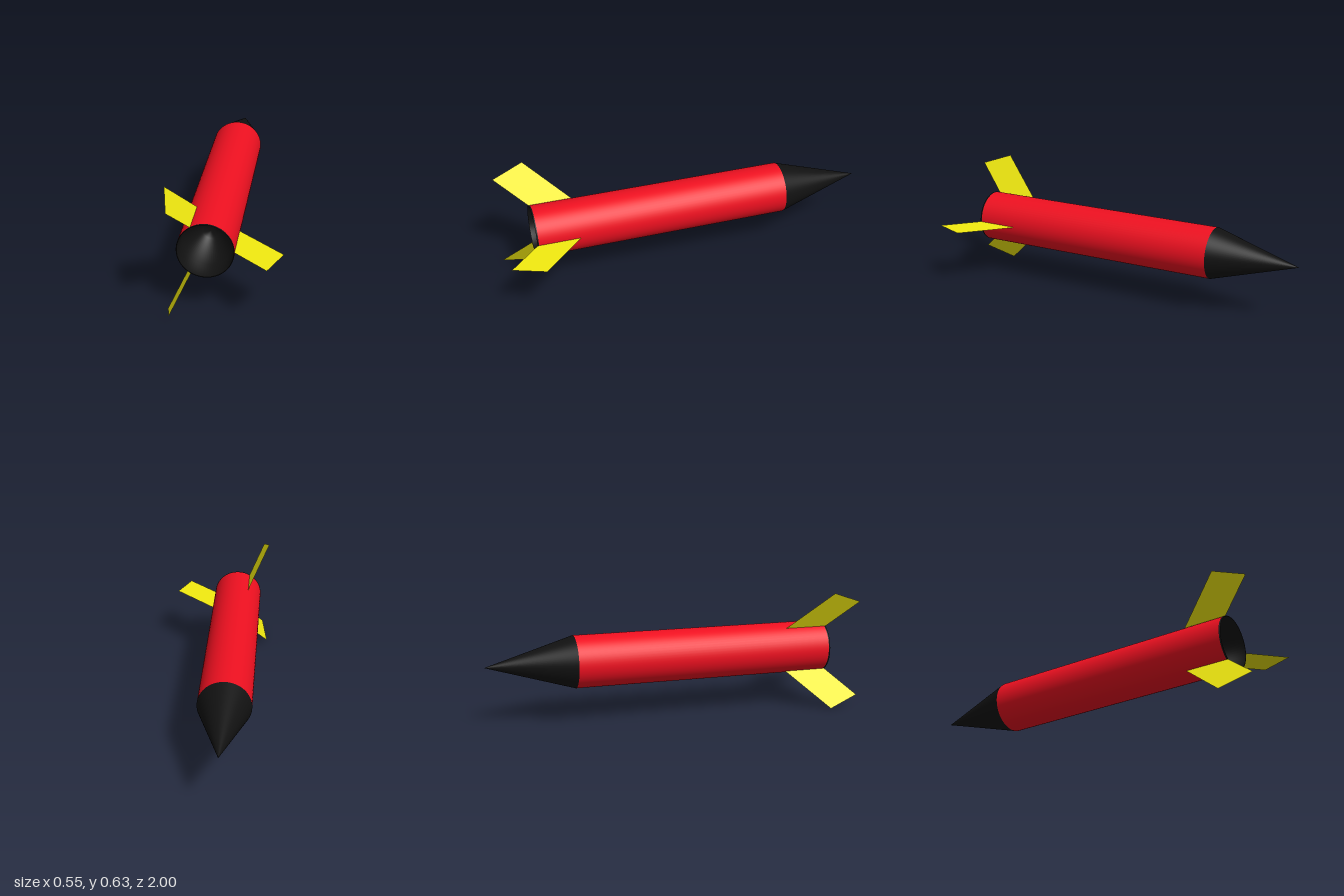
import * as THREE from 'three';

export function createModel() {
  const model = new THREE.Group();
  const rocket = new THREE.Group();
  rocket.name = 'rocket';
  rocket.position.set(-0.093, 0.318, 0);
  model.add(rocket);

  const R = 0.137, TAIL = 0.84, SHOULDER = -0.54, TIP = -1;
  const paint = (color) => new THREE.MeshStandardMaterial({ color, side: THREE.DoubleSide });
  const red = paint(0xee1020), black = paint(0x111111), yellow = paint(0xf4ec10);

  const add = (name, geometry, material) => {
    const mesh = new THREE.Mesh(geometry, material);
    mesh.name = name;
    rocket.add(mesh);
    return mesh;
  };

  // Turn a profile of [radius, z] pairs about the rocket's long axis
  const turn = (profile) => new THREE.LatheGeometry(
    profile.map(([r, z]) => new THREE.Vector2(r, z)), 64).rotateX(Math.PI / 2);

  // Body tube and pointed nose
  add('bodyTube', turn([[R, SHOULDER], [R, TAIL - 0.008]]), red);
  add('noseCone', turn([[0, TIP], [R, SHOULDER]]), black);

  // Dark rim around the open tail, and the hollow nozzle inside
  add('tailRim', turn([[R, TAIL - 0.008], [R, TAIL], [R - 0.003, TAIL]]), black);
  add('nozzle', turn([[R - 0.003, TAIL], [0.123, 0.74], [0.042, 0.62], [0, 0.62]]), black);

  // Three thin swept fins, spaced evenly around the tail
  const outline = [[R, 0.61], [0.366, 0.835], [0.3, 1], [R, TAIL]];
  const fin = new THREE.ShapeGeometry(
    new THREE.Shape(outline.map(([r, z]) => new THREE.Vector2(r, z)))).rotateX(Math.PI / 2);
  for (let i = 0; i < 3; i++) {
    add('fin' + (i + 1), fin, yellow).rotation.z = i * Math.PI * 2 / 3;
  }

  return model;
}
